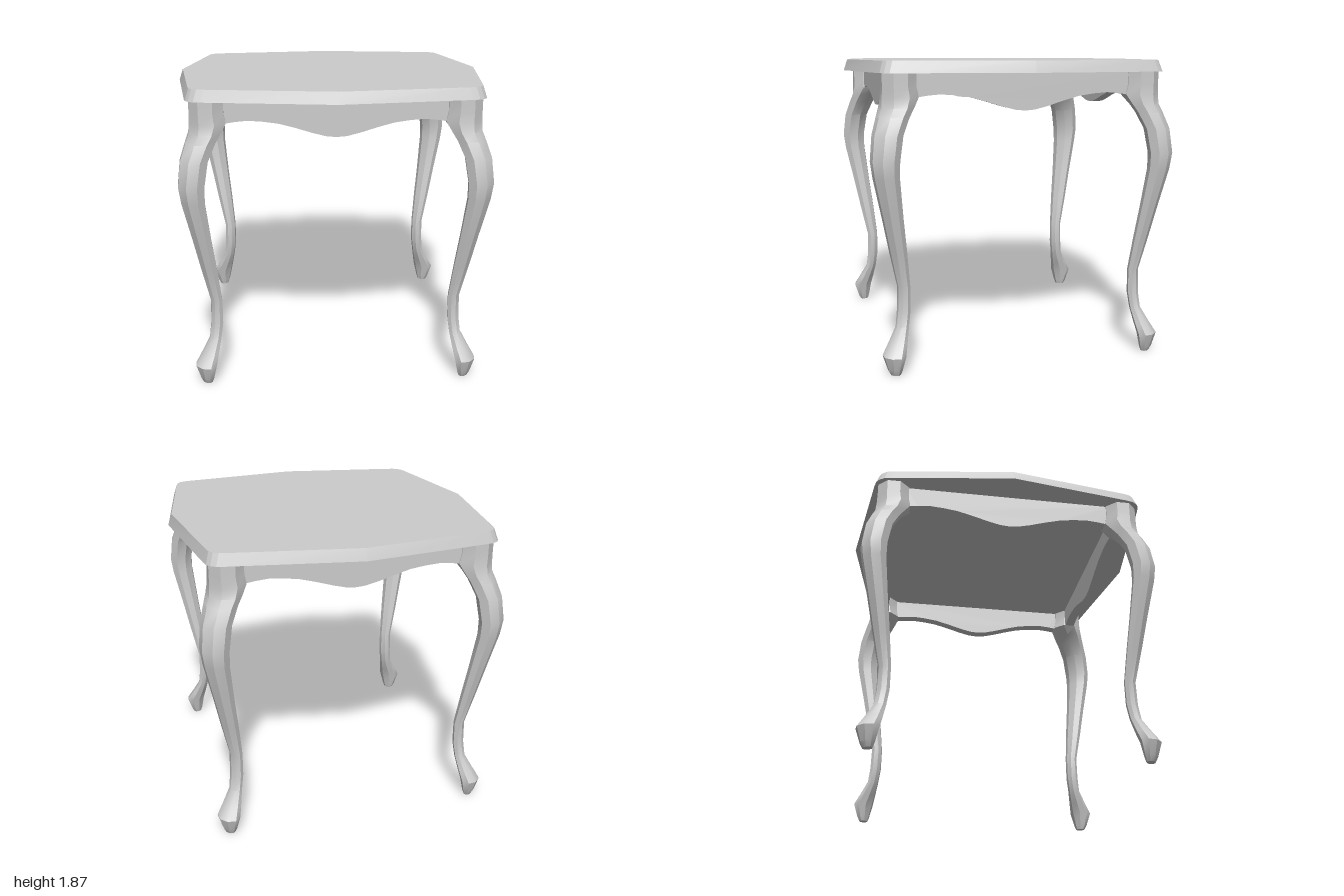
import * as THREE from 'three';
import { toCreasedNormals } from 'three/addons/utils/BufferGeometryUtils.js';

const material = new THREE.MeshStandardMaterial({ color: 0xcccccc });

// Skins closed rings of [x, y, z] points, ordered from bottom to top, and caps both ends.
function loft(rings, crease) {
  const n = rings[0].length;
  const pos = rings.flat(2);
  const index = [];
  for (let i = 0; i < rings.length - 1; i++) {
    for (let j = 0; j < n; j++) {
      const a = i * n + j, b = i * n + (j + 1) % n;
      index.push(a, a + n, b, b, a + n, b + n);
    }
  }
  const last = (rings.length - 1) * n;
  for (let j = 1; j < n - 1; j++) {
    index.push(0, j, j + 1, last, last + j + 1, last + j);
  }
  const g = new THREE.BufferGeometry();
  g.setAttribute('position', new THREE.Float32BufferAttribute(pos, 3));
  g.setIndex(index);
  return toCreasedNormals(g, crease);
}

function addMesh(parent, name, geometry) {
  const mesh = new THREE.Mesh(geometry, material);
  mesh.name = name;
  parent.add(mesh);
  return mesh;
}

// Top: four slightly pointed sides with softened corners and a bevelled rim
function topGeometry() {
  const quarter = [[1, 0], [0.885, 0.78], [0.875, 0.825], [0.855, 0.855], [0.825, 0.875], [0.78, 0.885]];
  const ring = (y, s) => {
    const pts = [];
    for (let k = 0; k < 4; k++) {
      for (const [x, z] of quarter) {
        const [rx, rz] = [[x, z], [-z, x], [-x, -z], [z, -x]][k];
        pts.push([rx * s, y, rz * s]);
      }
    }
    return pts;
  };
  return loft([ring(1.8, 1), ring(1.87, 0.976)], 0.3);
}

// Curved leg on the diagonal: [height, inner x, outer x] of each section
function legGeometry() {
  const sections = [
    [0, 0.79, 0.845], [0.03, 0.78, 0.86], [0.12, 0.76, 0.888], [0.19, 0.745, 0.848],
    [0.28, 0.728, 0.8], [0.38, 0.714, 0.788], [0.53, 0.713, 0.785], [0.75, 0.735, 0.832],
    [0.95, 0.758, 0.872], [1.2, 0.783, 0.925], [1.3, 0.782, 0.938], [1.45, 0.758, 0.922],
    [1.55, 0.715, 0.89], [1.6, 0.685, 0.872], [1.66, 0.648, 0.862], [1.72, 0.66, 0.86], [1.8, 0.66, 0.86],
  ];
  const rings = sections.map(([y, inner, outer]) => {
    const c = (inner + outer) / 2, r = (outer - inner) / 2 / Math.cos(Math.PI / 8);
    const along = y > 1.6 ? r : r * 0.86, across = y > 1.6 ? r : r * 1.12;
    const pts = [];
    for (let j = 0; j < 8; j++) {
      const t = (j + 0.5) * Math.PI / 4;
      const u = along * Math.cos(t), v = across * Math.sin(t);
      pts.push([c + (u - v) * Math.SQRT1_2, y, c + (u + v) * Math.SQRT1_2]);
    }
    return pts;
  });
  return loft(rings, 0.6);
}

// Apron board with a scalloped lower edge
function apronGeometry() {
  const half = [[0, 1.572], [0.06, 1.577], [0.14, 1.597], [0.24, 1.628], [0.34, 1.655],
    [0.43, 1.668], [0.52, 1.675], [0.6, 1.668], [0.68, 1.655]];
  const edge = [...half.slice(1).reverse().map(([x, y]) => [-x, y]), ...half];
  const pts = [[-0.68, 1.8], ...edge, [0.68, 1.8]];
  const shape = new THREE.Shape(pts.map(([x, y]) => new THREE.Vector2(x, y)));
  const g = new THREE.ExtrudeGeometry(shape, { depth: 0.07, bevelEnabled: false });
  g.translate(0, 0, 0.725);
  return toCreasedNormals(g, 0.6);
}

export function createModel() {
  const table = new THREE.Group();
  table.name = 'sideTable';
  addMesh(table, 'tableTop', topGeometry());

  const leg = legGeometry();
  const apron = apronGeometry();
  const legNames = ['frontLeftLeg', 'backLeftLeg', 'backRightLeg', 'frontRightLeg'];
  const apronNames = ['frontApron', 'leftApron', 'backApron', 'rightApron'];
  for (let k = 0; k < 4; k++) {
    addMesh(table, legNames[k], leg).rotation.y = k * Math.PI / 2;
    addMesh(table, apronNames[k], apron).rotation.y = k * Math.PI / 2;
  }
  return table;
}
